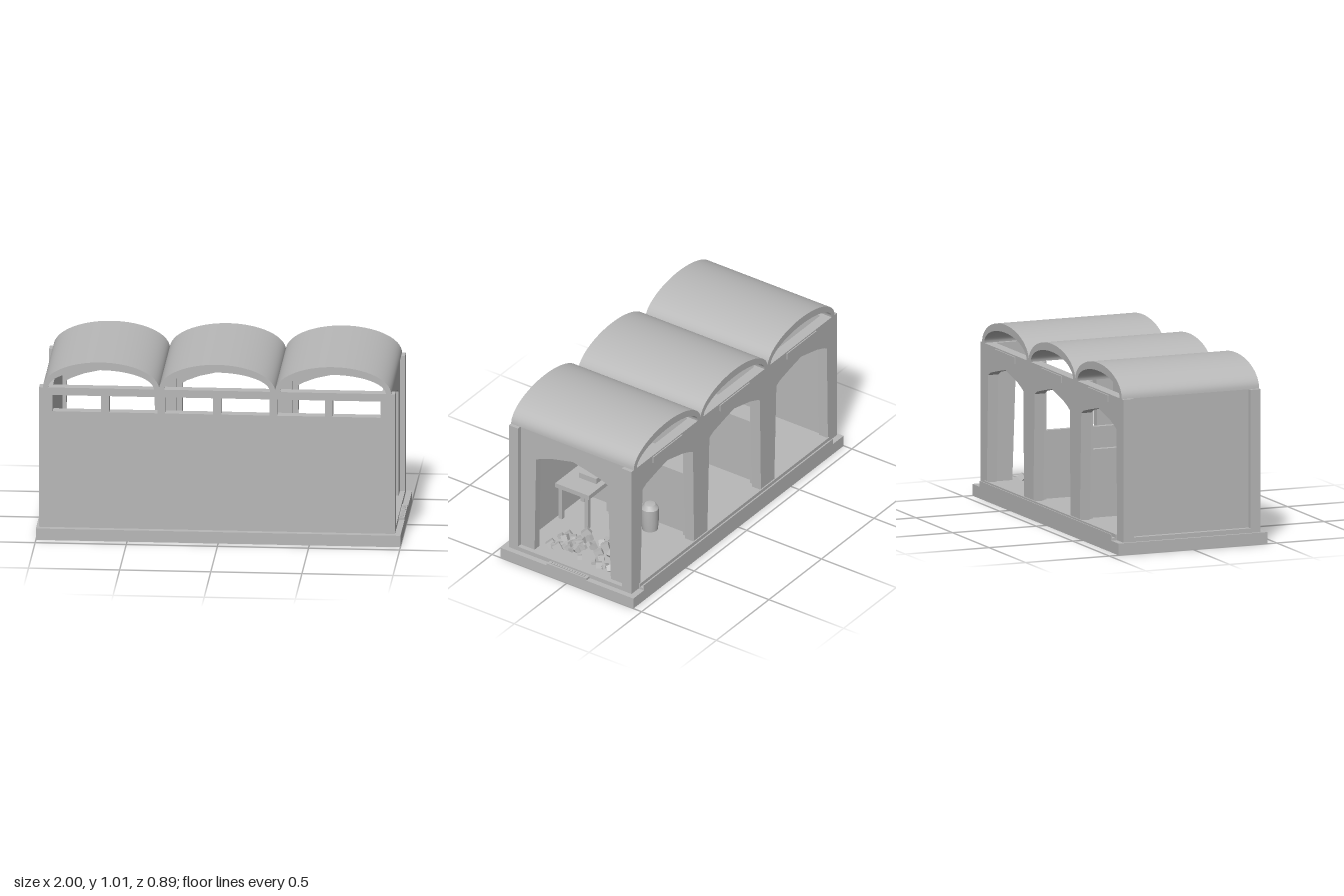
import * as THREE from 'three';
import { toCreasedNormals } from 'three/addons/utils/BufferGeometryUtils.js';

export function createModel() {
  const model = new THREE.Group();
  const stone = new THREE.MeshStandardMaterial({ color: 0xb8b8b8 });
  stone.name = 'grey stone';

  const add = (name, geometry, x = 0, y = 0, z = 0) => {
    const mesh = new THREE.Mesh(geometry, stone);
    mesh.name = name;
    mesh.position.set(x, y, z);
    model.add(mesh);
    return mesh;
  };
  // Box given by its lower and upper bounds
  const box = (name, x0, x1, y0, y1, z0, z1) =>
    add(name, new THREE.BoxGeometry(x1 - x0, y1 - y0, z1 - z0), (x0 + x1) / 2, (y0 + y1) / 2, (z0 + z1) / 2);

  const outline = (points) => points.map(([x, y]) => new THREE.Vector2(x, y));
  const rect = (x0, x1, y0, y1) => outline([[x0, y0], [x1, y0], [x1, y1], [x0, y1]]);
  const archway = (cx) => outline([
    [-0.255, 0.09], [0.255, 0.09], [0.235, 0.69], [0.2, 0.71], [0.1, 0.735],
    [0, 0.757], [-0.15, 0.722], [-0.22, 0.695], [-0.245, 0.68],
  ].map(([x, y]) => [cx + x, y]));
  const wall = (points, holes, depth) => {
    const shape = new THREE.Shape(points);
    holes.forEach((h) => shape.holes.push(new THREE.Path(h)));
    return new THREE.ExtrudeGeometry(shape, { depth, bevelEnabled: false });
  };

  const bays = [-0.645, -0.008, 0.628];
  const X0 = -0.957, X1 = 0.94, TOP = 0.86, FLOOR = 0.09;

  // Base, floor and entrance step
  box('base', -1, 1, 0, 0.065, -0.445, 0.445);
  box('floor', -0.985, 0.968, 0.065, FLOOR, -0.41, 0.41);
  box('entranceStep', 0.968, 1, 0.065, 0.078, -0.13, 0.135);
  for (let i = 0; i < 14; i++) {
    const z = -0.11 + i * 0.017;
    box('stepRib', 0.975, 0.993, 0.078, 0.082, z, z + 0.009);
  }

  // Gutter along the back
  box('gutterBed', -0.9, 0.9, 0.065, 0.078, -0.445, -0.412);
  box('gutterInnerLip', -0.9, 0.9, 0.065, 0.098, -0.419, -0.412);
  box('gutterOuterLip', -0.9, 0.9, 0.065, 0.098, -0.445, -0.44);

  // Front wall with a row of six windows
  const windows = [-0.91, -0.6, -0.295, 0.015, 0.32, 0.625].map((x) => rect(x, x + 0.264, 0.725, 0.817));
  add('frontWall', wall(rect(X0, X1, FLOOR, TOP), windows, 0.06), 0, 0, 0.35);

  // Back wall with one archway for each bay
  add('backWall', wall(rect(X0, X1, FLOOR, TOP), bays.map(archway), 0.06), 0, 0, -0.41);

  // End walls: solid on one side, an archway on the other
  add('closedEndWall', wall(rect(-0.35, 0.35, FLOOR, TOP), [], 0.045), X0, 0, 0).rotation.y = Math.PI / 2;
  add('openEndWall', wall(rect(-0.35, 0.35, FLOOR, TOP), [archway(-0.003)], 0.045), X1 - 0.045, 0, 0)
    .rotation.y = Math.PI / 2;

  // Corner pilasters
  for (const [a, b] of [[-0.985, X0], [X1, 0.968]])
    for (const [c, d] of [[-0.41, -0.345], [0.35, 0.41]]) box('cornerPilaster', a, b, FLOOR, TOP, c, d);

  // Low partitions between the bays
  for (const x of [-0.327, 0.31]) {
    box('partition', x - 0.015, x + 0.015, FLOOR, 0.47, -0.35, 0.35);
    box('partitionPost', x - 0.04, x + 0.04, FLOOR, TOP, -0.36, -0.32);
  }

  // Barrel roofs, open at both ends, and plates over the back archways
  const arc = (rx, ry, reverse) => {
    const pts = [];
    for (let i = 0; i <= 32; i++) {
      const t = (reverse ? 32 - i : i) / 32 * Math.PI;
      pts.push(new THREE.Vector2(rx * Math.cos(t), ry * Math.sin(t)));
    }
    return pts;
  };
  const vault = toCreasedNormals(
    wall([...arc(0.319, 0.148, false), ...arc(0.29, 0.104, true)], [], 0.82), 0.6);
  for (const x of bays) {
    add('barrelRoof', vault, x, TOP, -0.41);
    box('backPlate', x - 0.14, x + 0.14, 0.815, 0.852, -0.416, -0.408);
  }

  // Workbench with a crate
  box('benchTop', 0.35, 0.62, 0.295, 0.322, 0.12, 0.345);
  for (const x of [0.37, 0.58]) {
    box('benchLeg', x, x + 0.025, FLOOR, 0.295, 0.137, 0.16);
    box('benchLeg', x, x + 0.025, FLOOR, 0.295, 0.31, 0.335);
  }
  box('benchCrate', 0.38, 0.5, 0.322, 0.355, 0.155, 0.27);

  // Barrels
  const barrel = toCreasedNormals(new THREE.LatheGeometry(outline([
    [0, 0], [0.044, 0], [0.049, 0.05], [0.049, 0.135], [0.03, 0.16], [0, 0.165],
  ]), 16), 0.6);
  for (const z of [0.008, -0.134]) add('barrel', barrel, 0.4, FLOOR, z);

  // Rubble: a heap by the open end and loose stones in the other bays
  let seed = 7;
  const rand = () => (seed = (seed * 16807) % 2147483647) / 2147483647;
  const rock = new THREE.BoxGeometry(1, 1, 1);
  const rubble = (count, cx, cz, rx, rz) => {
    for (let i = 0; i < count; i++) {
      const s = 0.022 + rand() * 0.018;
      const m = add('rubble', rock, cx + (rand() * 2 - 1) * rx, FLOOR + s * 0.4, cz + (rand() * 2 - 1) * rz);
      m.scale.set(s * 1.2, s, s);
      m.rotation.set(rand() * 0.5, rand() * 3, rand() * 0.5);
    }
  };
  rubble(45, 0.77, 0, 0.12, 0.21);
  rubble(8, 0.12, -0.17, 0.13, 0.07);
  rubble(4, 0.1, 0.15, 0.12, 0.1);
  rubble(8, -0.45, -0.08, 0.1, 0.1);
  rubble(5, -0.65, 0, 0.15, 0.15);

  return model;
}
